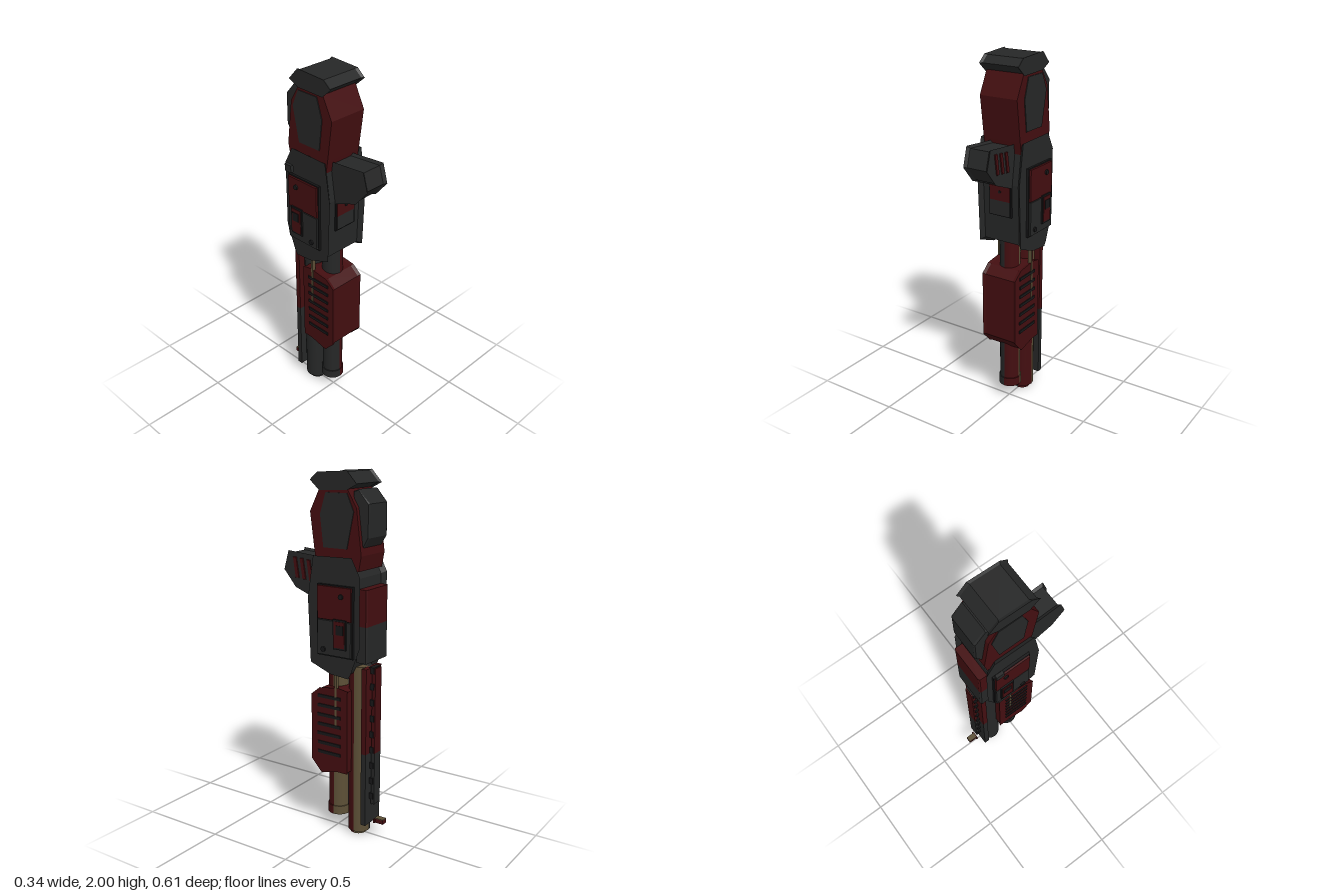
import * as THREE from 'three';

const mat = (name, color) => new THREE.MeshStandardMaterial({ name, color });

// Lofts a convex side outline [z, y] through sections [x, zScale, yScale], x ascending
function loft(outline, sections) {
  let area = 0;
  outline.forEach(([z, y], i) => {
    const [z2, y2] = outline[(i + 1) % outline.length];
    area += -z * y2 + z2 * y;
  });
  const pts = area > 0 ? outline : [...outline].reverse();
  const mid = k => (Math.max(...pts.map(p => p[k])) + Math.min(...pts.map(p => p[k]))) / 2;
  const cz = mid(0), cy = mid(1);
  const rings = sections.map(([x, sz = 1, sy = sz]) =>
    pts.map(([z, y]) => [x, cy + (y - cy) * sy, cz + (z - cz) * sz]));
  const pos = [];
  const tri = (a, b, c) => pos.push(...a, ...b, ...c);
  const n = pts.length, last = rings[rings.length - 1];
  for (let r = 0; r < rings.length - 1; r++) {
    const a = rings[r], b = rings[r + 1];
    for (let i = 0; i < n; i++) {
      const j = (i + 1) % n;
      tri(a[i], a[j], b[j]);
      tri(a[i], b[j], b[i]);
    }
  }
  for (let i = 1; i < n - 1; i++) {
    tri(last[0], last[i], last[i + 1]);
    tri(rings[0][0], rings[0][i + 1], rings[0][i]);
  }
  const g = new THREE.BufferGeometry();
  g.setAttribute('position', new THREE.Float32BufferAttribute(pos, 3));
  g.computeVertexNormals();
  return g;
}

const rect = (z0, z1, y0, y1) => [[z0, y0], [z1, y0], [z1, y1], [z0, y1]];

export function createModel() {
  const red = mat('dark red', 0x430e10);
  const grey = mat('charcoal', 0x262727);
  const black = mat('black', 0x171718);
  const tan = mat('dull brass', 0x5c4f36);

  const root = new THREE.Group();
  root.name = 'standingLauncher';
  const add = (name, geo, m) => {
    const mesh = new THREE.Mesh(geo, m);
    mesh.name = name;
    root.add(mesh);
    return mesh;
  };
  const box = (name, [x0, x1], [y0, y1], [z0, z1], m) =>
    add(name, new THREE.BoxGeometry(x1 - x0, y1 - y0, z1 - z0), m)
      .position.set((x0 + x1) / 2, (y0 + y1) / 2, (z0 + z1) / 2);
  // Side plate on both flanks, narrowing outward by taper
  const sidePlates = (name, outline, x0, x1, m, taper = 1, sides = [1, -1]) => {
    for (const s of sides)
      add(name, loft(outline, s > 0 ? [[x0], [x1, taper]] : [[-x1, taper], [-x0]]), m);
  };
  // Upright tube: red front left, brass back left, charcoal on the other half
  const tube = (name, radius, y0, y1, z) => {
    const q = Math.PI / 2;
    [[red, 0, q], [tan, q, q], [grey, 2 * q, 2 * q]].forEach(([m, start, len]) =>
      add(name, new THREE.CylinderGeometry(radius, radius, y1 - y0, len > q ? 12 : 6, 1, false, start, len), m)
        .position.set(0, (y0 + y1) / 2, z));
  };

  // Stock, side insets, cheek pad and butt cap
  add('stock', loft([[0.04, 1.91], [0.1, 1.79], [0.07, 1.565], [0.06, 1.5], [-0.2, 1.5],
    [-0.215, 1.58], [-0.185, 1.82], [-0.13, 1.91]], [[-0.113], [0.113]]), red);
  sidePlates('stockInset', [[0.0, 1.89], [0.035, 1.78], [0.015, 1.61], [-0.13, 1.61],
    [-0.17, 1.8], [-0.13, 1.89]], 0.111, 0.117, grey);
  add('cheekPad', loft([[-0.15, 1.9], [-0.18, 1.91], [-0.245, 1.84], [-0.245, 1.67],
    [-0.213, 1.62], [-0.17, 1.62]], [[-0.09, 0.9, 0.97], [-0.08], [0.08], [0.09, 0.9, 0.97]]), grey);
  add('buttCap', loft([[0.097, 1.95], [0.05, 1.99], [-0.13, 2.0], [-0.19, 1.935],
    [-0.13, 1.905], [0.04, 1.9]], [[-0.118], [-0.105, 0.92, 0.9], [0.105, 0.92, 0.9], [0.118]]), grey);

  // Receiver with flared side edges
  add('receiver', loft([[0.07, 1.565], [0.105, 1.34], [0.09, 0.99], [-0.04, 0.94], [-0.15, 0.93],
    [-0.165, 0.955], [-0.22, 1.1], [-0.22, 1.475], [-0.17, 1.57]],
  [[-0.132], [-0.11, 0.86, 0.95], [0.11, 0.86, 0.95], [0.132]]), grey);
  box('frontPanelUpper', [-0.063, 0.063], [1.24, 1.32], [0.04, 0.092], red);
  box('frontPanelLower', [-0.063, 0.063], [1.16, 1.24], [0.04, 0.092], grey);
  box('frontPanelRim', [-0.07, 0.07], [1.153, 1.327], [0.04, 0.087], black);
  add('frontPanelScrew', new THREE.CylinderGeometry(0.008, 0.008, 0.006, 12).rotateX(Math.PI / 2), black)
    .position.set(0, 1.29, 0.094);
  add('backPlateUpper', loft(rect(-0.18, -0.247, 1.215, 1.41), [[-0.105, 0.8, 1], [-0.095], [0.095], [0.105, 0.8, 1]]), red);
  add('backPlateLower', loft(rect(-0.18, -0.247, 1.02, 1.215), [[-0.105, 0.8, 1], [-0.095], [0.095], [0.105, 0.8, 1]]), grey);

  // Two-tone side covers, latch recess and screws
  sidePlates('sideCoverRim', rect(0.037, -0.187, 1.043, 1.425), 0.128, 0.145, black);
  sidePlates('sideCoverUpper', rect(0.032, -0.182, 1.24, 1.42), 0.13, 0.155, red, 0.97);
  sidePlates('sideCoverLower', rect(0.032, -0.182, 1.048, 1.24), 0.13, 0.155, grey, 0.97);
  sidePlates('latchFrame', rect(-0.075, -0.155, 1.09, 1.25), 0.15, 0.163, black);
  sidePlates('latchPlate', rect(-0.083, -0.147, 1.1, 1.24), 0.15, 0.166, red);
  sidePlates('latchSlot', rect(-0.095, -0.14, 1.17, 1.22), 0.15, 0.169, black);
  for (const s of [1, -1])
    for (const [y, z] of [[1.37, -0.12], [1.08, -0.01]])
      add('coverScrew', new THREE.CylinderGeometry(0.014, 0.014, 0.014, 12).rotateZ(Math.PI / 2), black)
        .position.set(s * 0.156, y, z);
  box('sideButton', [-0.17, -0.152], [1.45, 1.49], [-0.185, -0.14], grey);

  // Forward grip with three slanted slots
  add('grip', loft([[0.275, 1.57], [0.305, 1.465], [0.23, 1.375], [0.09, 1.32], [0.04, 1.36], [0.04, 1.55]],
    [[-0.073], [-0.058, 0.9], [0.058, 0.9], [0.073]]), grey);
  [0.215, 0.17, 0.125].forEach((z, i) => {
    const y = 1.425 - i * 0.005;
    sidePlates('gripSlot', [[z - 0.012, y], [z + 0.01, y], [z + 0.028, y + 0.115], [z + 0.006, y + 0.115]],
      0.071, 0.079, red, 0.95, [1]);
  });

  // Barrel, muzzle and magazine tube
  tube('barrel', 0.062, 0.02, 0.98, -0.143);
  tube('muzzle', 0.045, 0, 0.03, -0.138);
  tube('magazineTube', 0.058, 0.13, 1.0, -0.008);
  tube('magazineCollar', 0.064, 0.09, 0.14, -0.008);

  // Pump handle with ribs and action bars
  add('pumpHandle', loft([[0.105, 0.8], [0.05, 0.845], [-0.07, 0.86], [-0.13, 0.85], [-0.13, 0.375],
    [-0.07, 0.375], [0.04, 0.35], [0.105, 0.42]],
  [[-0.108], [-0.09, 0.96, 0.98], [0.09, 0.96, 0.98], [0.108]]), red);
  for (let i = 0; i < 7; i++) {
    const y = 0.475 + i * 0.054;
    sidePlates('pumpRib', rect(0.065, -0.09, y - 0.009, y + 0.009), 0.1, 0.113, black, 0.96);
  }
  sidePlates('actionBar', rect(-0.05, -0.062, 0.63, 1.0), 0.09, 0.112, tan);

  // Rear rail: base, raised strip and posts
  box('railBaseUpper', [-0.075, 0.075], [0.5, 0.98], [-0.228, -0.198], red);
  box('railBaseLower', [-0.075, 0.075], [0.08, 0.5], [-0.228, -0.198], grey);
  box('railStripUpper', [-0.03, 0.03], [0.5, 0.98], [-0.257, -0.236], red);
  box('railStripLower', [-0.03, 0.03], [0.2, 0.5], [-0.257, -0.236], grey);
  for (let y = 0.23; y < 0.96; y += 0.09)
    box('railPost', [-0.035, 0.035], [y, y + 0.035], [-0.25, -0.22], black);

  // Front sight
  box('sightFoot', [-0.025, 0.025], [0.085, 0.107], [-0.26, -0.25], red);
  box('sightPost', [-0.018, 0.016], [0.085, 0.11], [-0.307, -0.255], red);
  box('sightTop', [-0.018, 0.016], [0.109, 0.113], [-0.307, -0.255], tan);

  return root;
}
